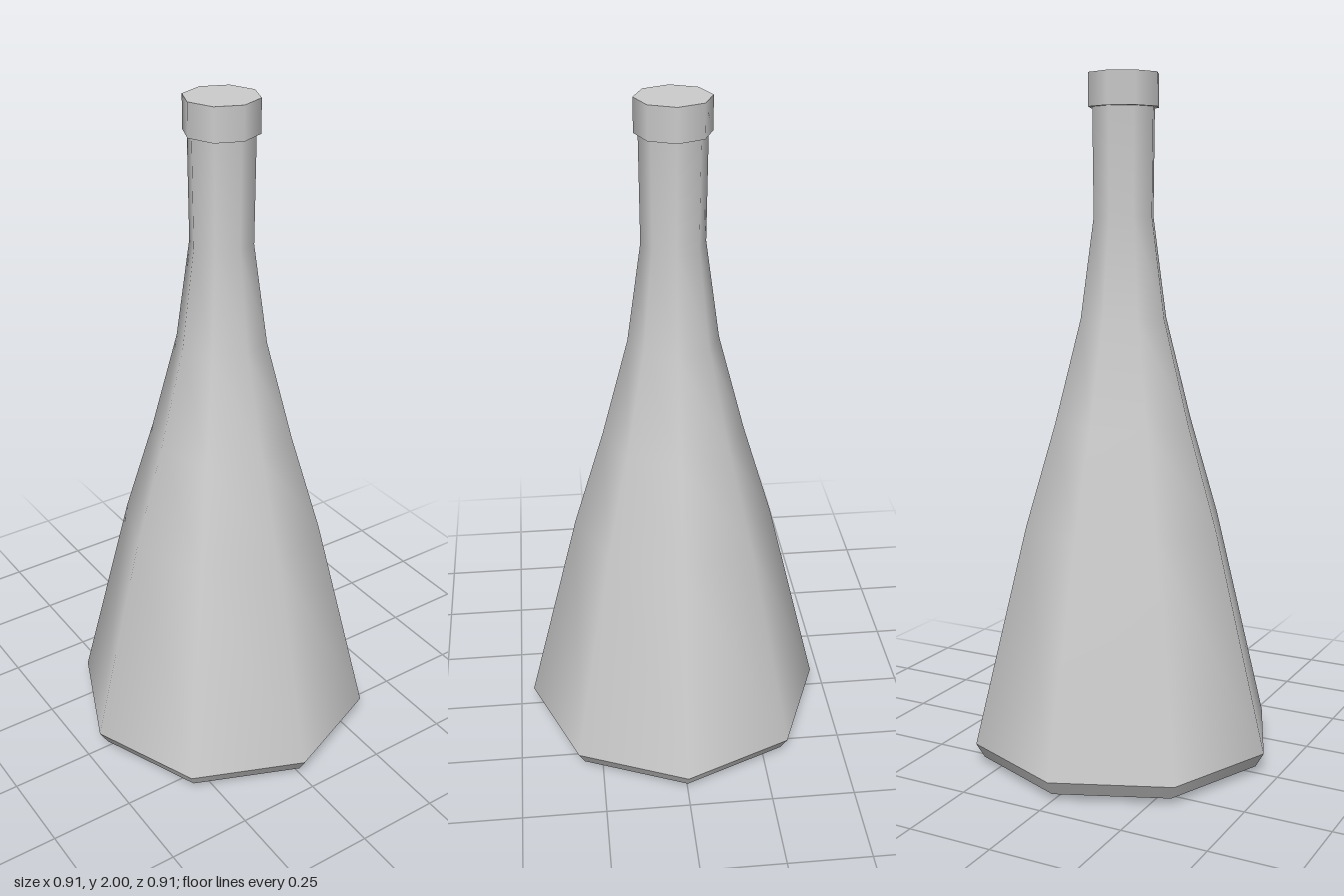
import * as THREE from 'three';

const SIDES = 8;

// Eight-sided turned section; normals are smooth within one section, sharp between sections.
function turned(name, profile, material) {
  const points = profile.map(([r, y]) => new THREE.Vector2(r, y));
  const mesh = new THREE.Mesh(new THREE.LatheGeometry(points, SIDES), material);
  mesh.name = name;
  return mesh;
}

export function createModel() {
  const group = new THREE.Group();
  group.name = 'bottle';
  const material = new THREE.MeshStandardMaterial({ color: 0xcccccc });

  // Profiles are radius, height, running from the base centre outward and up.
  const sections = {
    // Recessed underside
    puntFloor: [[0, 0.09], [0.26, 0.09]],
    puntWall: [[0.26, 0.09], [0.37, 0]],
    // Bevelled foot
    footLower: [[0.37, 0], [0.432, 0.02]],
    footUpper: [[0.432, 0.02], [0.457, 0.063]],
    // Tapering body, shoulder and neck
    body: [[0.457, 0.063], [0.298, 0.71], [0.208, 1.01], [0.13, 1.31], [0.09, 1.6], [0.093, 1.906]],
    // Collar and closed top
    capUnderside: [[0.093, 1.906], [0.105, 1.906]],
    capSide: [[0.105, 1.906], [0.105, 2]],
    capTop: [[0.105, 2], [0, 2]],
  };
  for (const [name, profile] of Object.entries(sections)) {
    group.add(turned(name, profile, material));
  }
  return group;
}
